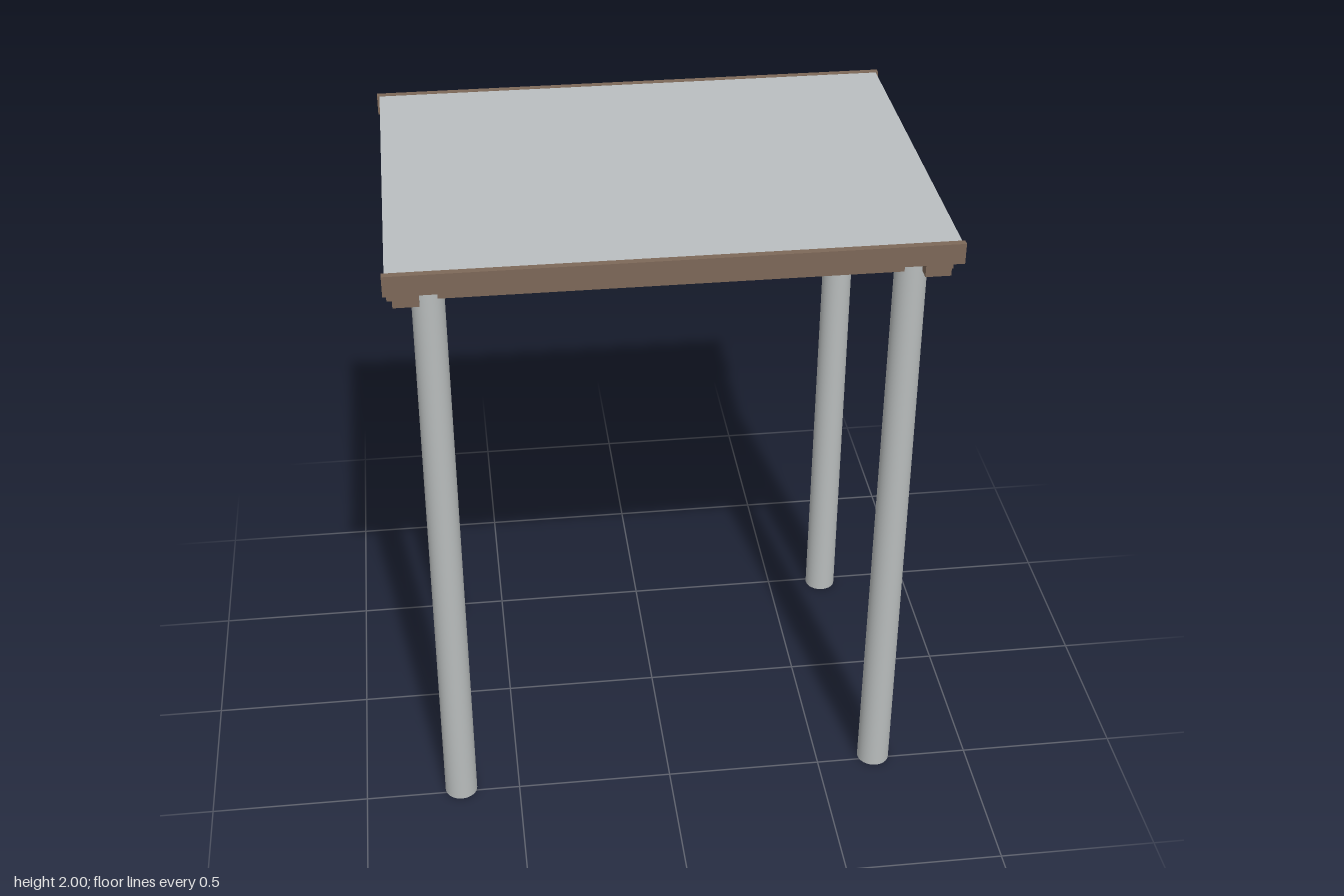
import * as THREE from 'three';

export function createModel() {
  const group = new THREE.Group();
  const material = (name, color) => {
    const m = new THREE.MeshStandardMaterial({ color });
    m.name = name;
    return m;
  };
  const wood = material('brown wood', 0x7d6858);
  const roofGrey = material('roof grey', 0xbabec0);
  const postGrey = material('post grey', 0xb8bcbc);

  const add = (name, geometry, mat, x, y, z) => {
    const mesh = new THREE.Mesh(geometry, mat);
    mesh.name = name;
    mesh.position.set(x, y, z);
    group.add(mesh);
  };
  const box = (name, mat, w, h, d, x, y, z) =>
    add(name, new THREE.BoxGeometry(w, h, d), mat, x, y, z);

  // Flat roof panel between the two fascia boards
  box('roofPanel', roofGrey, 1.612, 0.036, 1.172, 0, 1.981, 0);

  for (const s of [1, -1]) {
    const end = s > 0 ? 'front' : 'back';
    const side = s > 0 ? 'left' : 'right';

    // Fascia board along the roof edge
    box(end + 'Fascia', wood, 1.628, 0.063, 0.021, 0, 1.9685, s * 0.5965);

    // Long beam over the posts, and cross beam just outside them
    box(end + 'Beam', wood, 1.612, 0.088, 0.077, 0, 1.919, s * 0.483);
    box(side + 'CrossBeam', wood, 0.075, 0.087, 1.124, s * 0.7525, 1.919, 0);

    // Slightly tapered round posts, let into the long beams
    for (const t of [1, -1]) {
      add(end + (t > 0 ? 'Left' : 'Right') + 'Post',
        new THREE.CylinderGeometry(0.047, 0.052, 1.964, 32),
        postGrey, t * 0.691, 0.982, s * 0.483);
    }
  }
  return group;
}
